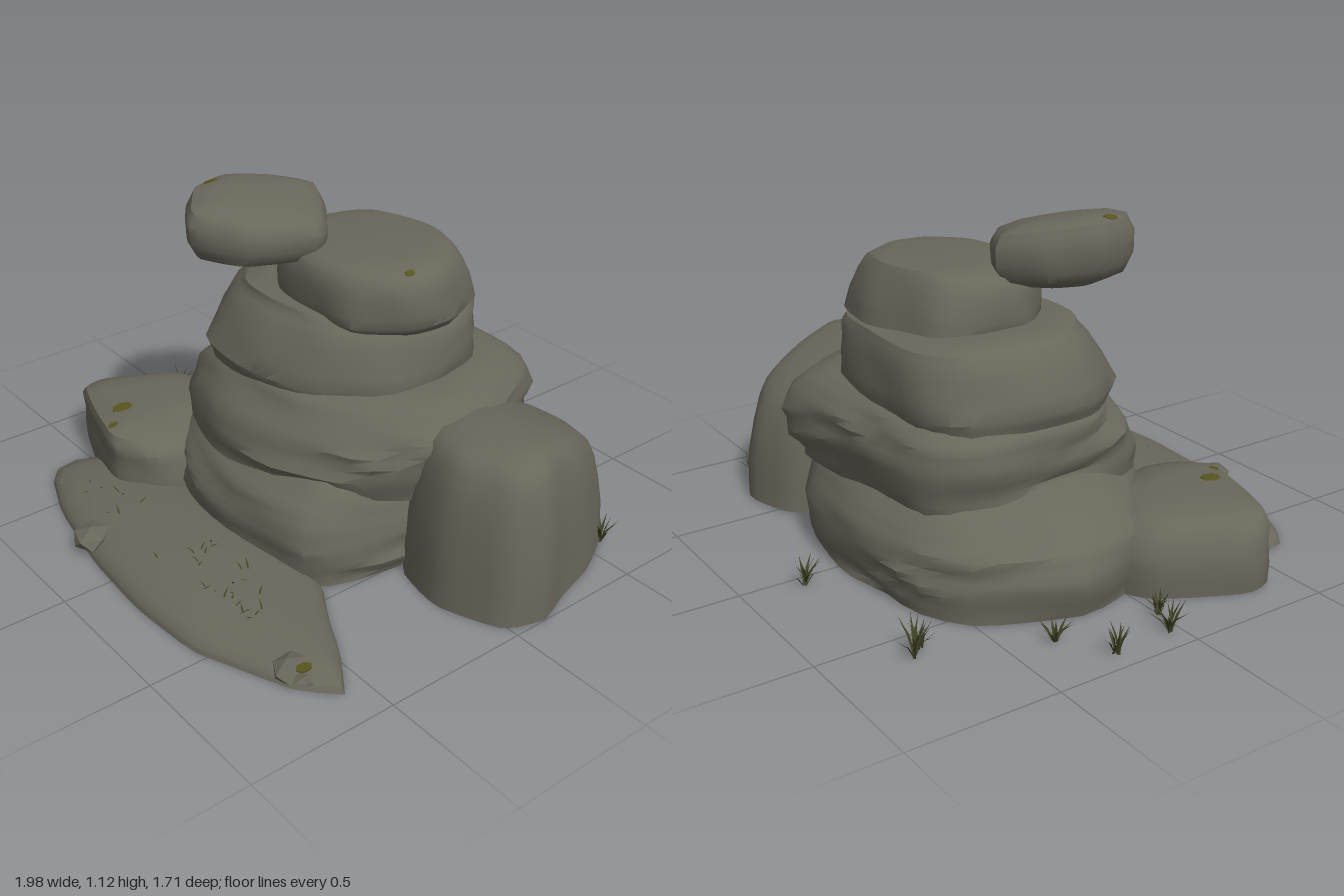
import * as THREE from 'three';
import { mergeGeometries, toCreasedNormals } from 'three/addons/utils/BufferGeometryUtils.js';

// Stones and mound are open underneath, so both sides show
const makeMaterial = (name, color) => {
  const m = new THREE.MeshStandardMaterial({ color, side: THREE.DoubleSide });
  m.name = name;
  return m;
};
const stone = makeMaterial('stone', 0x69665a);
const grass = makeMaterial('grass', 0x404224);
const moss = makeMaterial('moss', 0x57551f);

// Small seeded random
let seed = 7;
const rnd = (a = 0, b = 1) => {
  seed = (seed * 16807) % 2147483647;
  return a + (b - a) * (seed / 2147483647);
};

// Loft an [x, z] outline through [y, scale, dx, dz, depth] rings; strata pushes broken ledges in and out
function loft(outline, rings, { sub = 2, rough = 0.01, strata = 0, warp = () => 0, crease = 0.75, tension = 0.3, n = 44 } = {}) {
  const area = outline.reduce((s, [x, z], i) => {
    const [u, v] = outline[(i + 1) % outline.length];
    return s + x * v - u * z;
  }, 0);
  const pts = area > 0 ? outline : [...outline].reverse();
  const curve = new THREE.CatmullRomCurve3(pts.map(([x, z]) => new THREE.Vector3(x, 0, z)), true, 'catmullrom', tension);
  const loop = curve.getSpacedPoints(n).slice(0, n);
  const c = loop.reduce((s, p) => s.add(p), new THREE.Vector3()).divideScalar(n);

  // Subdivide between the given rings
  const full = rings.map(([y, s, dx = 0, dz = 0, depth = 1]) => [y, s, dx, dz, depth]);
  const levels = [];
  full.forEach((ring, i) => {
    const next = full[i + 1] ?? ring;
    const steps = full[i + 1] ? sub : 1;
    for (let k = 0; k < steps; k++) levels.push(ring.map((v, q) => THREE.MathUtils.lerp(v, next[q], k / steps)));
  });
  const y0 = rings[0][0], y1 = rings[rings.length - 1][0];
  const pos = [], idx = [];
  levels.forEach(([y, s, dx, dz, depth]) => loop.forEach((p, j) => {
    const a = (j / n) * Math.PI * 2;
    const bump = rough * (Math.sin(a * 4 + y * 13 + c.x * 9) + 0.7 * Math.sin(a * 7 - y * 23 + c.z * 7))
      + strata * Math.sin(y * 62 + 3 * Math.sin(a * 2 + 1) + 1.5 * Math.sin(a * 5)) * Math.max(0.15, Math.sin(a * 3 + y * 14));
    const k = s * (1 + bump);
    const x = c.x + dx + (p.x - c.x) * k, z = c.z + dz + (p.z - c.z) * k * depth;
    pos.push(x, Math.max(0, y + warp(x, z) * (y - y0) / (y1 - y0)), z);
  }));
  for (let i = 0; i < levels.length - 1; i++) {
    for (let j = 0; j < n; j++) {
      const a = i * n + j, b = i * n + (j + 1) % n, d = a + n, e = b + n;
      if (levels[i][1] > 0) idx.push(a, d, b);
      if (levels[i + 1][1] > 0) idx.push(b, d, e);
    }
  }
  const g = new THREE.BufferGeometry();
  g.setAttribute('position', new THREE.Float32BufferAttribute(pos, 3));
  g.setIndex(idx);
  return toCreasedNormals(g, crease);
}

// One tapered, drooping blade
function blade(x, y, z, angle, length, lean, width) {
  const dx = Math.cos(angle), dz = Math.sin(angle), p = [];
  for (const [t, w] of [[0, 0.7], [0.5, 1], [1, 0.05]]) {
    const out = length * Math.sin(lean) * t * (0.5 + 0.5 * t);
    const up = length * Math.cos(lean) * t * (1.25 - 0.25 * t);
    for (const s of [-1, 1]) p.push(x + dx * out - dz * s * w * width, y + up, z + dz * out + dx * s * w * width);
  }
  const g = new THREE.BufferGeometry();
  g.setAttribute('position', new THREE.Float32BufferAttribute(p, 3));
  g.setIndex([0, 2, 1, 1, 2, 3, 2, 4, 3, 3, 4, 5]);
  g.computeVertexNormals();
  return g;
}

export function createModel() {
  seed = 7;
  const model = new THREE.Group();
  const add = (name, geo, mat) => {
    const m = new THREE.Mesh(geo, mat);
    m.name = name;
    model.add(m);
    return m;
  };

  // Stacked tower, bottom to top
  add('baseStone', loft(
    [[0.53, -0.12], [0.52, 0.12], [0.42, 0.37], [0.12, 0.43], [-0.15, 0.41], [-0.4, 0.31], [-0.65, 0.08], [-0.72, -0.19],
      [-0.58, -0.5], [-0.4, -0.62], [-0.1, -0.66], [0.18, -0.64], [0.38, -0.56]],
    [[0, 0.97], [0.06, 0.99], [0.13, 1], [0.2, 0.97, 0.01], [0.25, 0.91, 0.03], [0.3, 0.82, 0.06], [0.34, 0.7, 0.08],
      [0.35, 0.4, 0.08], [0.35, 0, 0.08]],
    { sub: 3, strata: 0.02 }), stone);
  add('secondStone', loft(
    [[0.64, -0.18], [0.61, 0.02], [0.46, 0.2], [0.2, 0.35], [-0.1, 0.37], [-0.41, 0.24], [-0.46, 0], [-0.47, -0.35],
      [-0.36, -0.56], [0, -0.63], [0.38, -0.65], [0.52, -0.46]],
    [[0.24, 0], [0.24, 0.75], [0.27, 0.93, -0.02, 0.02], [0.34, 0.96, -0.01, 0.01], [0.43, 1, 0, -0.015, 0.95],
      [0.5, 0.98, 0, -0.035, 0.88], [0.54, 0.9, -0.01, -0.03, 0.89], [0.57, 0.77, -0.02, -0.03, 0.9],
      [0.58, 0.4], [0.58, 0]],
    { sub: 3, strata: 0.026 }), stone);
  add('thirdStone', loft(
    [[0.41, -0.2], [0.38, 0.02], [0.2, 0.2], [-0.05, 0.26], [-0.3, 0.23], [-0.46, 0.05], [-0.47, -0.2], [-0.42, -0.42],
      [-0.3, -0.52], [0, -0.53], [0.24, -0.5], [0.37, -0.37]],
    [[0.52, 0], [0.52, 0.96], [0.57, 1], [0.66, 0.96, 0.01, -0.015, 0.98], [0.73, 0.91, 0.02, -0.03, 0.96],
      [0.765, 0.85, 0.02, -0.04, 0.95], [0.78, 0.7], [0.785, 0.35], [0.785, 0]],
    { strata: 0.008 }), stone);
  const upper = add('upperStone', loft(
    [[0.41, -0.25], [0.39, -0.08], [0.25, 0.07], [0.05, 0.09], [-0.12, 0.06], [-0.24, -0.07], [-0.25, -0.25],
      [-0.18, -0.4], [0.1, -0.48], [0.31, -0.43]],
    [[0.73, 0], [0.74, 0.92], [0.77, 0.99], [0.84, 0.98, 0, 0.01, 0.98], [0.9, 0.94, 0, 0.02, 0.96],
      [0.935, 0.87, 0, 0.02, 0.96], [0.955, 0.72], [0.962, 0.4], [0.965, 0]]), stone);
  const cap = add('cappingStone', loft(
    [[0.05, 0.02], [-0.04, 0.25], [-0.2, 0.355], [-0.35, 0.25], [-0.39, 0.1], [-0.32, -0.07], [-0.2, -0.18], [0, -0.06]],
    [[0.885, 0], [0.89, 0.55], [0.92, 0.87], [0.97, 0.98], [1.03, 0.99], [1.07, 0.9], [1.09, 0.65], [1.1, 0.3], [1.1, 0]],
    { tension: 0.2, warp: (x, z) => -0.2 * (x + 0.17) + 0.03 * (z - 0.08) }), stone);

  // Boulders leaning on each side
  add('leftBoulder', loft(
    [[1, -0.12], [0.95, 0.01], [0.74, 0.1], [0.54, 0.06], [0.34, -0.15], [0.34, -0.42], [0.46, -0.6], [0.65, -0.66],
      [0.8, -0.59], [0.9, -0.42], [0.95, -0.25]],
    [[0, 1], [0.2, 0.97], [0.34, 0.92], [0.43, 0.86], [0.49, 0.78], [0.52, 0.65], [0.532, 0.35], [0.535, 0]],
    { rough: 0.004, tension: 0.2, warp: (x, z) => -0.55 * Math.max(0, -z - 0.2) ** 1.4 }), stone);
  const low = add('rightBoulder', loft(
    [[-0.24, 0.32], [-0.28, 0.46], [-0.42, 0.55], [-0.68, 0.49], [-0.86, 0.42], [-0.88, 0.31], [-0.74, 0.04],
      [-0.6, -0.03], [-0.38, 0.05]],
    [[0, 0.99], [0.07, 1], [0.13, 0.98], [0.195, 0.92, 0, 0.025], [0.23, 0.8, 0, 0.045], [0.247, 0.55, 0, 0.05],
      [0.252, 0.25, 0, 0.05], [0.253, 0, 0, 0.05]],
    { rough: 0.004, tension: 0.2, warp: (x) => -0.14 * Math.max(0, x + 0.45) }), stone);

  // Open earth mound in front
  const mound = add('earthMound', loft(
    [[0.88, 0.58], [0.78, 0.68], [0.45, 0.82], [0.18, 0.84], [-0.12, 0.82], [-0.45, 0.76], [-0.68, 0.67], [-0.7, 0.57],
      [-0.63, 0.42], [-0.3, 0.32], [0.1, 0.29], [0.45, 0.32], [0.58, 0.4], [0.72, 0.47]],
    [[0, 1], [0.02, 0.98], [0.045, 0.88], [0.065, 0.68], [0.08, 0.4], [0.084, 0]],
    { rough: 0.002, tension: 0.05 }), stone);

  // Pebbles: a few on the mound's rim, the rest bedded beneath it
  const pebbles = [[-0.2, 0.78, 0.078], [0.73, 0.66, 0.07], [-0.57, 0.67, 0.035], [0.62, 0.68, 0.045],
    [0.71, 0.58, 0.025], [0.22, 0.8, 0.02], [0.79, 0.63, 0.03]];
  for (let i = 0; i < 26; i++) pebbles.push([rnd(-0.45, 0.6), rnd(0.42, 0.7), rnd(0.028, 0.052)]);
  const pebbleParts = pebbles.map(([x, z, r], i) => {
    const g = new THREE.IcosahedronGeometry(r);
    g.rotateX(rnd(0, 3)).scale(1.05, 0.45, 0.85).rotateY(rnd(0, 6));
    return g.translate(x, r * (i < 7 ? 0.58 : 0.46), z);
  });
  add('pebbles', mergeGeometries(pebbleParts), stone);
  model.updateMatrixWorld(true);

  // Drop a point onto a surface
  const drop = (mesh, x, z) => new THREE.Raycaster(new THREE.Vector3(x, 3, z), new THREE.Vector3(0, -1, 0)).intersectObject(mesh)[0];

  // Moss patches lying on the stones
  for (const [mesh, x, z, r] of [[low, -0.56, 0.43, 0.036], [low, -0.49, 0.51, 0.018], [cap, -0.33, 0.17, 0.024],
    [upper, 0.34, -0.11, 0.017]]) {
    const hit = drop(mesh, x, z);
    if (!hit) continue;
    const patch = add('mossPatch', new THREE.CylinderGeometry(r * 0.9, r, 0.006, 7).scale(0.8, 1, 1.15), moss);
    patch.position.copy(hit.point);
    patch.quaternion.setFromUnitVectors(new THREE.Vector3(0, 1, 0), hit.face.normal);
  }
  const rimMoss = add('mossPatch', new THREE.CylinderGeometry(0.022, 0.022, 0.006, 6).scale(0.9, 1, 1.3), moss);
  rimMoss.position.set(0.77, 0.06, 0.645);

  // Grass tufts around the back and sides
  for (const [x, z, h] of [[-0.62, -0.74, 0.125], [-0.58, -0.7, 0.09], [-0.05, -0.8, 0.11], [-0.93, -0.25, 0.1],
    [-0.77, -0.35, 0.085], [-0.92, -0.04, 0.105], [-0.82, 0, 0.095], [0.82, -0.57, 0.11]]) {
    const blades = [];
    for (let i = 0; i < 12; i++) {
      blades.push(blade(x + rnd(-0.008, 0.008), 0, z + rnd(-0.008, 0.008), i * 0.524 + rnd(0, 0.4), h * rnd(0.7, 1.05), rnd(0.2, 0.85), 0.0045));
    }
    add('grassTuft', mergeGeometries(blades), grass);
  }

  // Sparse short blades on the mound
  const sprouts = [];
  for (let i = 0; i < 34; i++) {
    const x = i < 26 ? 0.28 + rnd(-0.22, 0.22) : -0.35 + rnd(-0.15, 0.15);
    const z = i < 26 ? 0.6 + rnd(-0.1, 0.1) : 0.64 + rnd(-0.07, 0.07);
    const hit = drop(mound, x, z);
    if (hit) sprouts.push(blade(x, hit.point.y - 0.003, z, rnd(0, 6.28), rnd(0.025, 0.045), rnd(0.8, 1.15), 0.003));
  }
  add('moundSprouts', mergeGeometries(sprouts), grass);

  return model;
}
